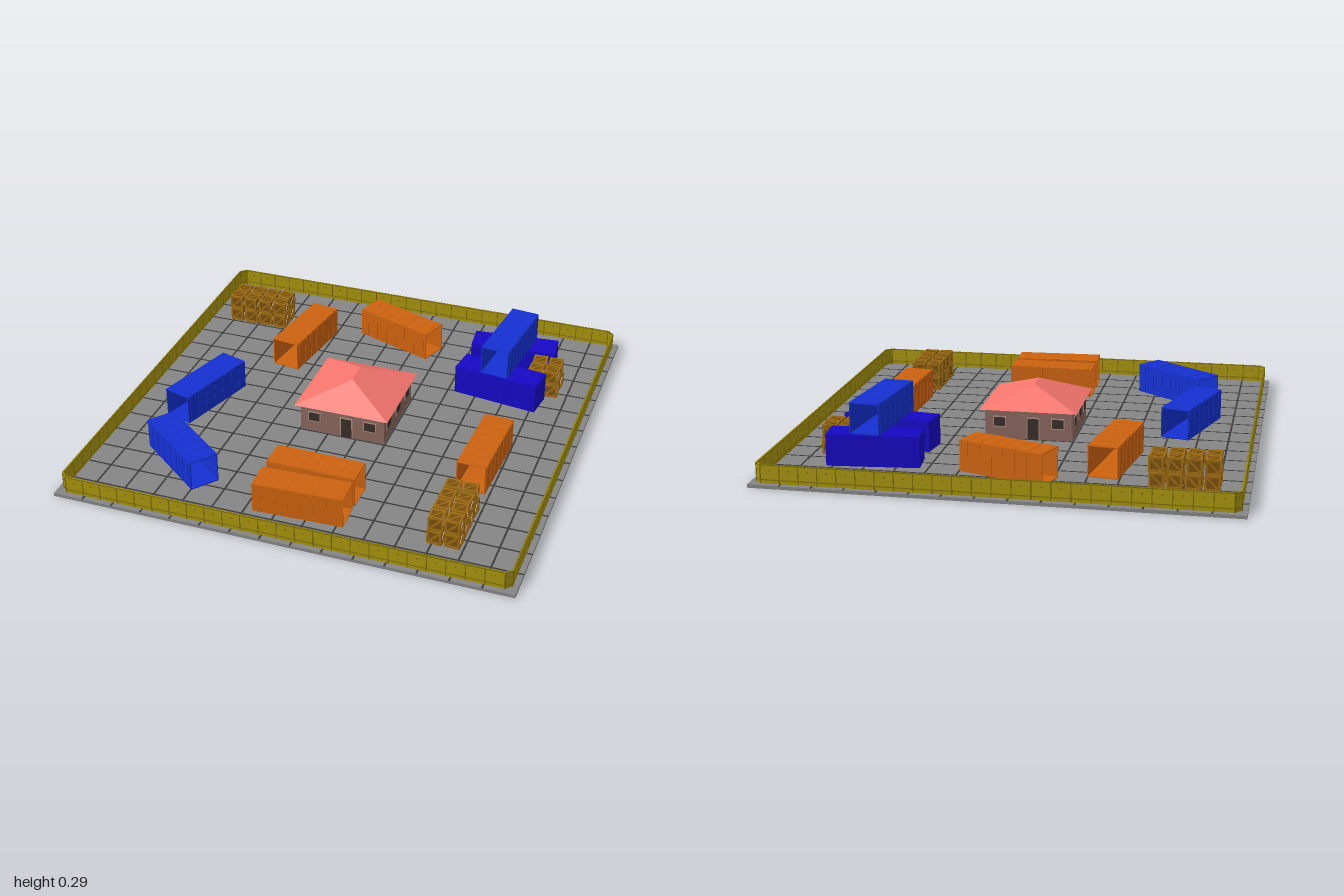
import * as THREE from 'three';
import { mergeGeometries } from 'three/addons/utils/BufferGeometryUtils.js';

const mat = (color) => new THREE.MeshStandardMaterial({ color, flatShading: true });
const M = {
  ground: mat(0x858585), seam: mat(0x3c3c3c), fence: mat(0xa8940e), fenceDark: mat(0x7d6d0a),
  orange: mat(0xcc620f), blue: mat(0x1430d2), navy: mat(0x1508c4),
  crate: mat(0x9c6a12), crateCore: mat(0x7a500c),
  wall: mat(0x8a665c), roof: mat(0xf4756d), glass: mat(0x3a2e2c), trim: mat(0xa88a7c),
};
M.roof.side = THREE.DoubleSide;

const FLOOR = 0.015;

// box geometry with optional rotation about x, y, z before placing
function box(w, h, d, x = 0, y = 0, z = 0, rx = 0, ry = 0, rz = 0) {
  const g = new THREE.BoxGeometry(w, h, d);
  g.rotateX(rx).rotateY(ry).rotateZ(rz);
  return g.translate(x, y, z);
}
function mesh(name, parts, material) {
  const m = new THREE.Mesh(Array.isArray(parts) ? mergeGeometries(parts) : parts, material);
  m.name = name;
  return m;
}

// paved yard: slab plus seams between 15 x 15 tiles
function yard() {
  const g = new THREE.Group();
  g.name = 'yard';
  g.add(mesh('slab', box(2, 0.014, 2, 0, 0.007, 0), M.ground));
  const seams = [];
  for (let i = 1; i < 15; i++) {
    const p = -1 + (i * 2) / 15;
    seams.push(box(0.008, 0.002, 2, p, 0.014, 0), box(2, 0.002, 0.008, 0, 0.014, p));
  }
  g.add(mesh('tileSeams', seams, M.seam));
  return g;
}

// perimeter fence with cut corners, sheet panels, posts, rails and bolts
function fence() {
  const g = new THREE.Group();
  g.name = 'fence';
  const sheets = [], trims = [];
  const R = 0.975, C = 0.025, H = 0.08;
  const run = (ax, az, bx, bz, panels) => {
    const len = Math.hypot(bx - ax, bz - az), ry = Math.atan2(-(bz - az), bx - ax);
    const sheet = [box(len, H, 0.004, 0, H / 2, 0)];
    const trim = [box(len, 0.004, 0.008, 0, H - 0.002, 0), box(len, 0.004, 0.008, 0, 0.016, 0)];
    for (let i = 0; i <= panels; i++) {
      const x = -len / 2 + (len * i) / panels;
      trim.push(box(0.004, H, 0.008, x, H / 2, 0));
      if (i < panels) trim.push(box(0.006, 0.006, 0.008, x + len / panels / 2, 0.055, 0));
    }
    for (const [list, src] of [[sheets, sheet], [trims, trim]])
      for (const b of src) list.push(b.rotateY(ry).translate((ax + bx) / 2, FLOOR, (az + bz) / 2));
  };
  const E = R - C;
  run(-E, R, E, R, 24);
  run(E, R, R, E, 1);
  run(R, E, R, -E, 24);
  run(R, -E, E, -R, 1);
  run(E, -R, -E, -R, 24);
  run(-E, -R, -R, -E, 1);
  run(-R, -E, -R, E, 24);
  run(-R, E, -E, R, 1);
  g.add(mesh('fencePanels', sheets, M.fence), mesh('fencePostsAndRails', trims, M.fenceDark));
  return g;
}

// shipping container along x; open ones are a tube with thin walls
function container(x, z, dx, dz, material, y = FLOOR, open = true) {
  const L = 0.394, W = 0.13, H = 0.135, t = 0.004;
  const parts = open
    ? [box(L, t, W, 0, t / 2, 0), box(L, t, W, 0, H - t / 2, 0),
       box(L, H, t, 0, H / 2, W / 2 - t / 2), box(L, H, t, 0, H / 2, -W / 2 + t / 2)]
    : [box(L, H, W, 0, H / 2, 0)];
  // shallow ribs on the sides and roof
  for (let i = 0; i < 7; i++) {
    const rx = -L / 2 + (L * (i + 0.5)) / 7;
    parts.push(box(L / 14, H - 0.012, W + 0.004, rx, H / 2, 0));
    if (open) {
      parts.pop();
      for (const s of [-1, 1]) parts.push(box(L / 14, H - 0.012, 0.002, rx, H / 2, s * (W / 2 + 0.001)));
    }
    parts.push(box(L / 14, 0.002, W - 0.012, rx, H, 0));
  }
  const m = mesh('container', parts, material);
  m.position.set(x, y, z);
  m.rotation.y = Math.atan2(-dz, dx);
  return m;
}

// wooden crate: inset core, edge bars, and a diagonal brace on each face
const S = 0.064;
function crateGeometries() {
  const t = 0.009, o = (S - t) / 2, frame = [];
  for (const a of [-o, o]) for (const b of [-o, o])
    frame.push(box(S, t, t, 0, a, b), box(t, S, t, a, 0, b), box(t, t, S, a, b, 0));
  const q = Math.PI / 4, d = S * 1.15, n = S / 2 - 0.003;
  for (const s of [-1, 1]) {
    frame.push(box(d, 0.008, 0.004, 0, 0, s * n, 0, 0, q));
    frame.push(box(0.004, 0.008, d, s * n, 0, 0, q, 0, 0));
    frame.push(box(d, 0.004, 0.008, 0, s * n, 0, 0, q, 0));
  }
  return [mergeGeometries(frame), box(S - 0.01, S - 0.01, S - 0.01)];
}
function crateStack(cx, cz, nx, nz) {
  const g = new THREE.Group();
  g.name = 'crateStack';
  const [frame, core] = crateGeometries();
  const pitchX = 0.0745, pitchZ = 0.074;
  for (let j = 0; j < 2; j++) for (let i = 0; i < nx; i++) for (let k = 0; k < nz; k++) {
    const c = new THREE.Group();
    c.name = 'crate';
    c.add(mesh('crateFrame', frame, M.crate), mesh('crateCore', core, M.crateCore));
    c.position.set(cx + (i - (nx - 1) / 2) * pitchX, FLOOR + S / 2 + j * 0.067, cz + (k - (nz - 1) / 2) * pitchZ);
    c.rotation.y = 0.09 * Math.sin(i * 5.1 + k * 3.7 + j * 2.3);
    g.add(c);
  }
  return g;
}

// hip-roofed house in the middle
function house() {
  const g = new THREE.Group();
  g.name = 'house';
  const W = 0.39, H = 0.132;
  g.add(mesh('houseWalls', box(W, H, W, 0, FLOOR + H / 2, 0), M.wall));
  // roof: a box whose top face is squeezed into a ridge along z
  const roof = new THREE.BoxGeometry(0.434, 0.085, 0.434).translate(0, 0.1875, 0);
  const p = roof.attributes.position;
  for (let i = 0; i < p.count; i++)
    if (p.getY(i) > 0.2) p.setXYZ(i, 0, p.getY(i), Math.sign(p.getZ(i)) * 0.055);
  roof.computeVertexNormals();
  g.add(mesh('roof', roof, M.roof));
  // windows and a door on every wall
  const glass = [], trim = [];
  for (let s = 0; s < 4; s++) {
    const put = (list, b) => list.push(b.rotateY((s * Math.PI) / 2));
    for (const x of [-0.13, 0.13]) {
      put(trim, box(0.06, 0.05, 0.006, x, 0.09, W / 2));
      put(glass, box(0.05, 0.04, 0.008, x, 0.09, W / 2));
    }
    if (s % 2 === 0) {
      put(trim, box(0.06, 0.1, 0.006, 0.02, FLOOR + 0.05, W / 2));
      put(glass, box(0.048, 0.094, 0.008, 0.02, FLOOR + 0.047, W / 2));
    } else {
      put(trim, box(0.06, 0.05, 0.006, 0, 0.09, W / 2));
      put(glass, box(0.05, 0.04, 0.008, 0, 0.09, W / 2));
    }
  }
  g.add(mesh('frames', trim, M.trim), mesh('windowsAndDoors', glass, M.glass));
  return g;
}

export function createModel() {
  const model = new THREE.Group();
  model.name = 'containerYard';
  model.add(yard(), fence(), house());
  // containers: centre x, z and the direction of the long axis
  model.add(
    container(-0.01, -0.685, 69, 25, M.orange),
    container(-0.425, -0.47, -11, 73, M.orange),
    container(0.03, 0.6, 74, 1, M.orange),
    container(0.03, 0.762, 74, -3, M.orange),
    container(0.658, 0.209, -3, 74, M.orange),
    container(-0.687, 0.12, -22, 72, M.blue),
    container(-0.578, 0.615, 58, 45, M.blue),
    container(0.57, -0.63, 73, -7, M.navy, FLOOR, false),
    container(0.57, -0.366, 73, 10, M.navy, FLOOR, false),
    container(0.575, -0.5, -8, 73, M.blue, 0.153),
  );
  model.add(crateStack(-0.735, -0.678, 4, 2), crateStack(0.65, 0.66, 2, 4), crateStack(0.755, -0.495, 2, 2));
  return model;
}
